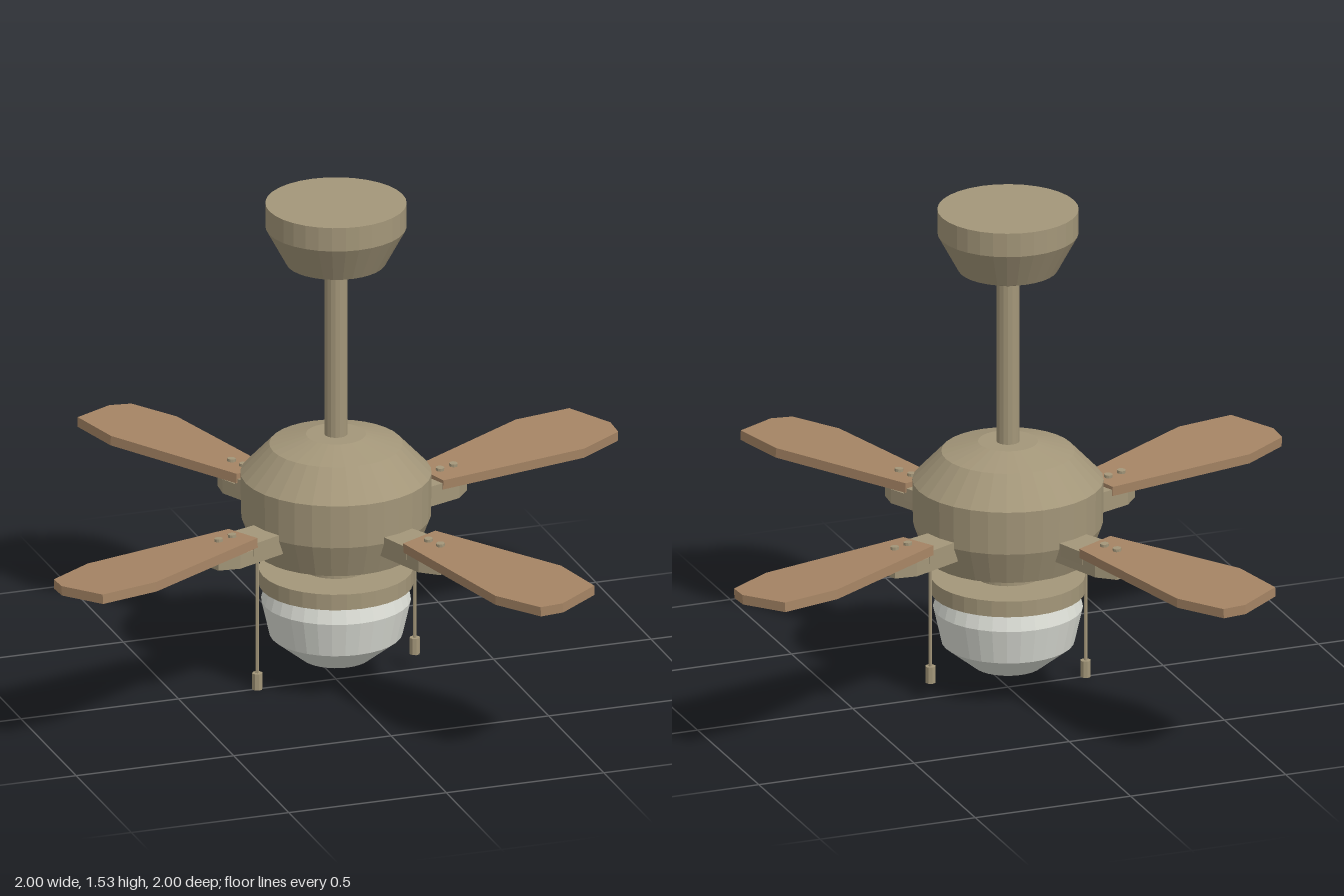
import * as THREE from 'three';

const metal = new THREE.MeshStandardMaterial({ color: 0xa39679, flatShading: true });
const wood = new THREE.MeshStandardMaterial({ color: 0xa58464, flatShading: true });
const glass = new THREE.MeshStandardMaterial({ color: 0xdcded6, flatShading: true });

function add(parent, name, geometry, material, x = 0, y = 0, z = 0) {
  const mesh = new THREE.Mesh(geometry, material);
  mesh.name = name;
  mesh.position.set(x, y, z);
  parent.add(mesh);
  return mesh;
}

// Turned part: [radius, y] points from bottom to top
function turned(parent, name, points, material, sides = 32) {
  const profile = points.map(([r, y]) => new THREE.Vector2(r, y));
  return add(parent, name, new THREE.LatheGeometry(profile, sides), material);
}

// Flat slab from an outline of [outward, sideways] points, centred on y = 0
function slab(outline, thickness) {
  const shape = new THREE.Shape(outline.map(([u, v]) => new THREE.Vector2(u, -v)));
  const geometry = new THREE.ExtrudeGeometry(shape, { depth: thickness, bevelEnabled: false });
  return geometry.translate(0, 0, -thickness / 2).rotateX(-Math.PI / 2);
}

function createBlade() {
  const group = new THREE.Group();
  group.name = 'bladeAssembly';

  // Arm out of the motor and the pointed plate under the blade
  add(group, 'bracketArm', slab([[0.2, -0.052], [0.2, 0.052], [0.385, 0.062], [0.385, -0.062]], 0.04), metal, 0, 0.53, 0);
  add(group, 'bracketPlate', slab([
    [0.24, -0.055], [0.24, 0.055], [0.44, 0.062], [0.5, 0.03], [0.5, -0.03], [0.44, -0.062],
  ], 0.045), metal, 0, 0.508, 0);

  // Pitched paddle with its two screws
  const paddle = new THREE.Group();
  paddle.name = 'paddle';
  paddle.position.y = 0.549;
  paddle.rotation.x = 0.06;
  group.add(paddle);
  add(paddle, 'blade', slab([
    [0.374, -0.066], [0.374, 0.064], [0.873, 0.14], [1.039, 0.106],
    [1.066, 0.041], [1.037, -0.112], [0.851, -0.145],
  ], 0.03), wood);
  for (const u of [0.417, 0.471]) {
    add(paddle, 'screw', new THREE.CylinderGeometry(0.013, 0.013, 0.012, 10), metal, u, 0.018, 0);
  }
  return group;
}

export function createModel() {
  const fan = new THREE.Group();
  fan.name = 'ceilingFan';

  // Ceiling mount and rod
  turned(fan, 'canopy', [[0, 1.305], [0.06, 1.305], [0.15, 1.34], [0.212, 1.455], [0.212, 1.53], [0, 1.53]], metal);
  add(fan, 'downRod', new THREE.CylinderGeometry(0.035, 0.035, 0.56, 16), metal, 0, 1.04, 0);

  // Motor and light fitting
  turned(fan, 'motorHousing', [
    [0, 0.425], [0.245, 0.425], [0.285, 0.53], [0.287, 0.665], [0.2, 0.757], [0.09, 0.788], [0, 0.788],
  ], metal);
  add(fan, 'lightNeck', new THREE.CylinderGeometry(0.1, 0.1, 0.09, 32), metal, 0, 0.395, 0);
  add(fan, 'lightPlate', new THREE.CylinderGeometry(0.232, 0.232, 0.05, 32), metal, 0, 0.335, 0);
  turned(fan, 'glassShade', [[0, 0.075], [0.105, 0.075], [0.2, 0.15], [0.225, 0.26], [0.21, 0.315], [0, 0.315]], glass);

  // Four blades
  for (let i = 0; i < 4; i++) {
    const blade = createBlade();
    blade.rotation.y = Math.PI / 8 + i * Math.PI / 2;
    fan.add(blade);
  }

  // Pull chains of unequal length
  for (const [x, bottom] of [[-0.25, 0], [0.25, 0.05]]) {
    const top = 0.44, knob = 0.052;
    const length = top - bottom - knob;
    add(fan, 'pullChain', new THREE.CylinderGeometry(0.005, 0.005, length, 6), metal, x, top - length / 2, 0);
    add(fan, 'pullKnob', new THREE.CylinderGeometry(0.016, 0.016, knob, 8), metal, x, bottom + knob / 2, 0);
  }
  return fan;
}
